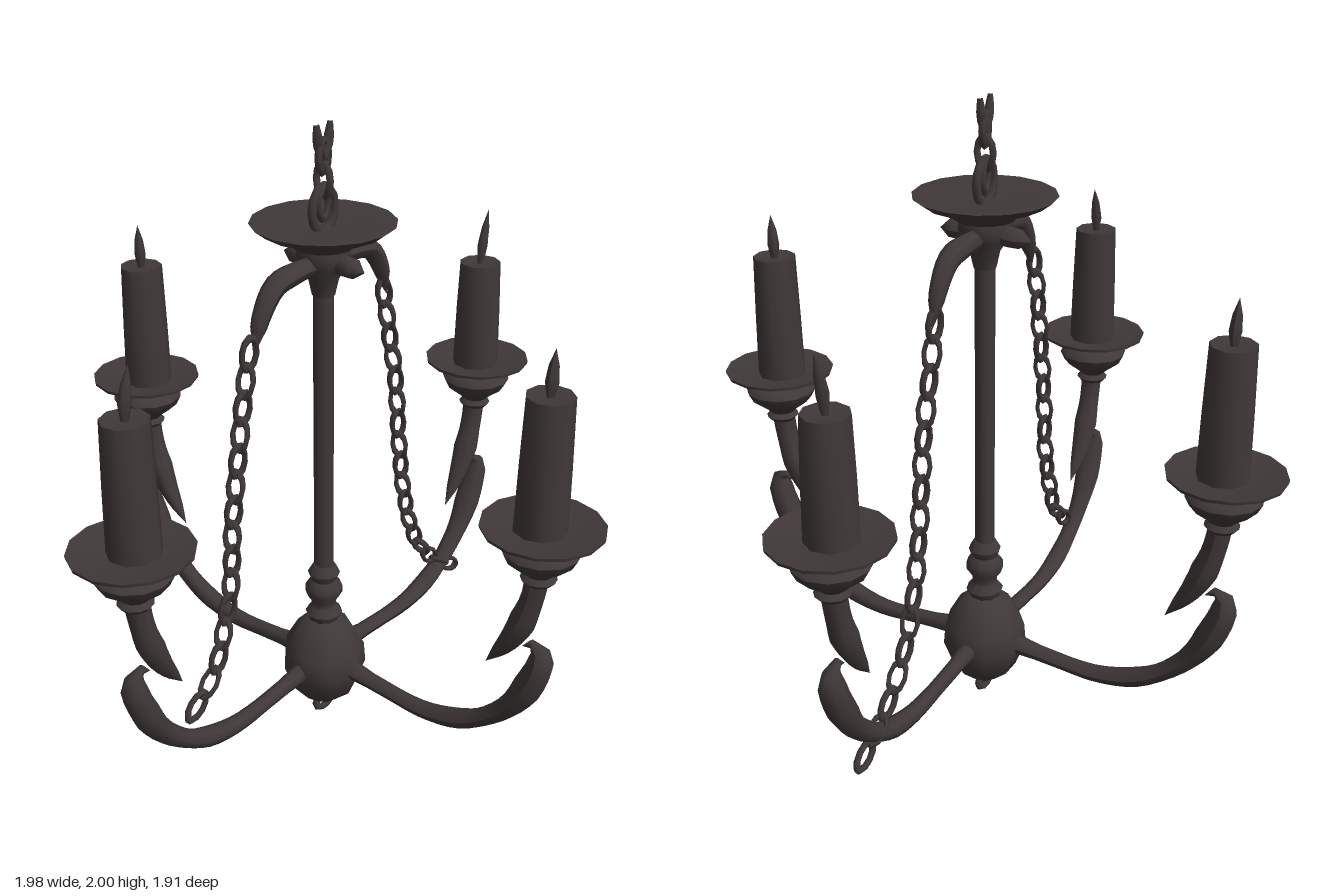
import * as THREE from 'three';
import { toCreasedNormals } from 'three/addons/utils/BufferGeometryUtils.js';

const iron = new THREE.MeshStandardMaterial({ color: 0x403838 });
iron.name = 'dark iron';
const V = (x, y, z = 0) => new THREE.Vector3(x, y, z);

function add(parent, name, geometry, x = 0, y = 0, z = 0) {
  const mesh = new THREE.Mesh(geometry, iron);
  mesh.name = name;
  mesh.position.set(x, y, z);
  parent.add(mesh);
  return mesh;
}

// Turned part from [radius, height] pairs, listed bottom to top
function turned(profile, sides = 12) {
  const points = profile.map(([r, y]) => new THREE.Vector2(r, y));
  return toCreasedNormals(new THREE.LatheGeometry(points, sides), 0.85);
}

// Tube along points whose radius follows a list of values, closed at both ends
function taperedTube(points, radii, steps = 14, sides = 8) {
  const curve = new THREE.CatmullRomCurve3(points);
  const geometry = new THREE.TubeGeometry(curve, steps, 1, sides);
  const pos = geometry.attributes.position;
  const v = V(0, 0);
  for (let i = 0; i <= steps; i++) {
    const centre = curve.getPointAt(i / steps);
    const t = (i / steps) * (radii.length - 1);
    const k = Math.min(Math.floor(t), radii.length - 2);
    const r = THREE.MathUtils.lerp(radii[k], radii[k + 1], t - k);
    for (let j = 0; j <= sides; j++) {
      const n = i * (sides + 1) + j;
      v.fromBufferAttribute(pos, n).sub(centre).multiplyScalar(r).add(centre);
      pos.setXYZ(n, v.x, v.y, v.z);
    }
  }
  geometry.computeVertexNormals();
  return geometry;
}

// Oval chain links along a curve, every second one turned a quarter
function chain(parent, name, points, count, length = 0.105, width = 0.062) {
  const group = new THREE.Group();
  group.name = name;
  const curve = new THREE.CatmullRomCurve3(points);
  const wire = 0.013;
  const link = new THREE.TorusGeometry(0.5, 0.14, 5, 10);
  for (let i = 0; i < count; i++) {
    const t = (i + 0.5) / count;
    const p = curve.getPointAt(t);
    const mesh = add(group, 'chainLink', link, p.x, p.y, p.z);
    mesh.quaternion.setFromUnitVectors(V(0, 1), curve.getTangentAt(t));
    mesh.rotateY(i % 2 ? 1.35 : 0.25);
    mesh.scale.set(width - wire, length - wire, 0.085);
  }
  parent.add(group);
}

// One curved arm pointing along +x, with its candle
function candleArm(reach, candleTop, lean) {
  const arm = new THREE.Group();
  const d = reach - 0.8;
  add(arm, 'lowerArm', taperedTube(
    [V(0.08, 0.22), V(0.24, 0.205), V(0.44 + d, 0.2), V(0.6 + d, 0.25), V(0.73 + d, 0.36),
      V(0.8 + d, 0.48), V(0.83 + d, 0.58), V(0.815 + d, 0.625), V(0.765 + d, 0.6)],
    [0.035, 0.026, 0.025, 0.028, 0.033, 0.03, 0.034, 0.046, 0.04, 0], 26));
  add(arm, 'upperArm', taperedTube(
    [V(0.8 + d, 0.9), V(0.79 + d, 0.8), V(0.765 + d, 0.7), V(0.72 + d, 0.6), V(0.645 + d, 0.49)],
    [0.04, 0.036, 0.036, 0.042, 0.034, 0.022, 0], 14));
  add(arm, 'candleCup', turned([
    [0, 0.83], [0.04, 0.835], [0.053, 0.85], [0.04, 0.865], [0.055, 0.88], [0.1, 0.915],
    [0.115, 0.945], [0.1, 0.965], [0.06, 0.98], [0, 0.98]]), reach);
  add(arm, 'dripDish', turned([
    [0, 0.965], [0.08, 0.975], [0.175, 1.01], [0.177, 1.02], [0.09, 1.003], [0, 1.0]], 14), reach);
  add(arm, 'candle', turned([
    [0, 1], [0.078, 1.005], [0.074, 1.2], [0.068, candleTop], [0.03, candleTop - 0.005], [0, candleTop - 0.005]], 9), reach - 0.01);
  add(arm, 'wick', taperedTube(
    [V(0, candleTop - 0.01), V(lean * 0.25, candleTop + 0.06), V(lean, 1.545)],
    [0.01, 0.019, 0.014, 0], 6, 6), reach - 0.01);
  return arm;
}

export function createModel() {
  const model = new THREE.Group();
  model.name = 'chandelier';
  const body = new THREE.Group();
  body.name = 'body';
  body.position.x = -0.017;
  model.add(body);

  // Hub, beads and central post
  add(body, 'hub', turned([
    [0, 0.055], [0.05, 0.06], [0.105, 0.11], [0.138, 0.2], [0.132, 0.27], [0.09, 0.345], [0.05, 0.38], [0, 0.38]], 9));
  add(body, 'beads', turned([
    [0, 0.37], [0.05, 0.375], [0.06, 0.4], [0.04, 0.425], [0.04, 0.445], [0.06, 0.475], [0.06, 0.5],
    [0.042, 0.525], [0.052, 0.55], [0.035, 0.58], [0, 0.58]], 10));
  add(body, 'post', new THREE.CylinderGeometry(0.031, 0.031, 1.06, 10), 0, 1.08, 0);
  const ring = add(body, 'bottomRing', new THREE.TorusGeometry(0.036, 0.012, 6, 10), 0, 0.04, 0);
  ring.scale.set(1.15, 0.85, 1);

  // Four candle arms: left, back, right, front
  const arms = [['leftArm', 0.835, 1.37, 0.035], ['backArm', 0.78, 1.41, 0.005],
    ['rightArm', 0.8, 1.4, -0.025], ['frontArm', 0.78, 1.41, 0.005]];
  arms.forEach(([name, reach, top, lean], i) => {
    const arm = candleArm(reach, top, lean);
    arm.name = name;
    arm.rotation.y = i * Math.PI / 2;
    body.add(arm);
  });

  // Ceiling dish and crown
  add(body, 'topDish', turned([
    [0, 1.64], [0.09, 1.65], [0.115, 1.675], [0.18, 1.695], [0.213, 1.72], [0.205, 1.722], [0.1, 1.702], [0, 1.7]], 16));
  add(body, 'crown', turned([[0, 1.5], [0.034, 1.5], [0.045, 1.55], [0.07, 1.59], [0.08, 1.62], [0.075, 1.65], [0, 1.65]], 10));
  for (const s of [1, -1]) {
    add(body, 'crownArm', taperedTube(
      [V(0, 1.6), V(s * 0.13, 1.6), V(s * 0.21, 1.585), V(s * 0.265, 1.52), V(s * 0.305, 1.41)],
      [0.03, 0.03, 0.034, 0.031, 0.025, 0], 16));
    add(body, 'crownStub', taperedTube(
      [V(0, 1.605), V(0, 1.605, s * 0.08), V(0, 1.6, s * 0.15)], [0.025, 0.025, 0.032, 0.03, 0], 8));
  }

  // Hanging chains
  chain(model, 'rightChain', [V(-0.33, 1.46), V(-0.365, 1.3), V(-0.4, 1.1), V(-0.43, 0.9),
    V(-0.445, 0.72), V(-0.475, 0.6), V(-0.53, 0.45), V(-0.64, 0.34)], 15);
  chain(model, 'leftChain', [V(0.265, 1.46), V(0.3, 1.3), V(0.345, 1.1), V(0.375, 0.85),
    V(0.41, 0.65), V(0.475, 0.46), V(0.58, 0.32), V(0.74, 0.2)], 17);
  // Suspension: a shackle, then links ending in an open one
  const shackle = add(body, 'shackle', new THREE.TorusGeometry(0.5, 0.13, 6, 12), 0, 1.755, 0);
  shackle.scale.set(0.1, 0.13, 0.1);
  chain(body, 'suspensionChain', [V(0, 1.74), V(0, 1.94)], 3, 0.105, 0.075);
  for (const s of [1, -1]) {
    add(body, 'openLink', taperedTube(
      [V(0, 1.9), V(s * 0.02, 1.94), V(s * 0.03, 2)], [0.012, 0.016, 0.015, 0.008], 5, 6));
  }
  return model;
}
